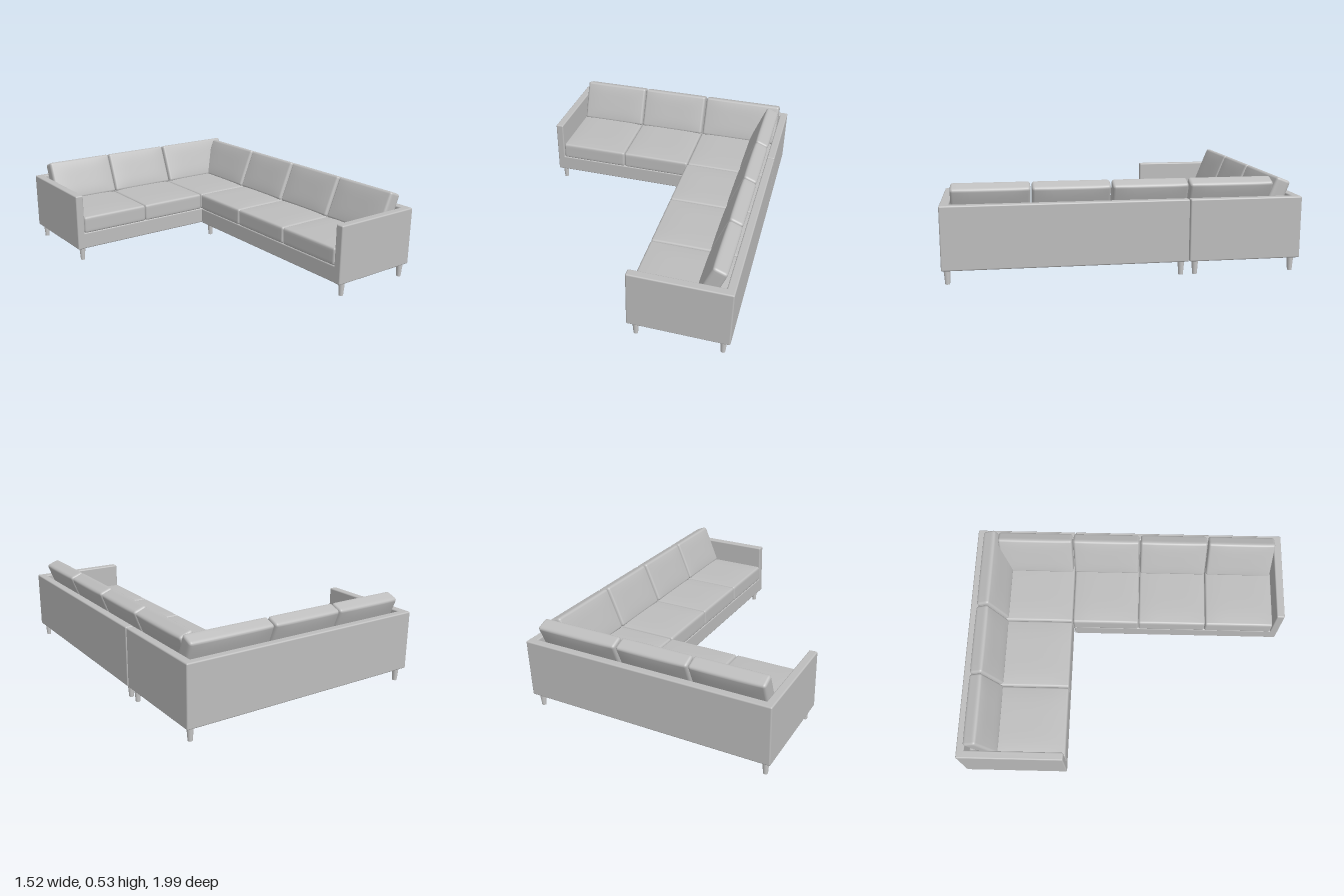
import * as THREE from 'three';
import { RoundedBoxGeometry } from 'three/addons/geometries/RoundedBoxGeometry.js';
import { mergeVertices } from 'three/addons/utils/BufferGeometryUtils.js';

const fabric = new THREE.MeshStandardMaterial({ color: 0xbdbdbd });
fabric.name = 'grey upholstery';
const legGrey = new THREE.MeshStandardMaterial({ color: 0xc8c8c8 });
legGrey.name = 'pale grey legs';

// Soft box: tightly rounded rims, with the two broad y faces swelling in the middle
function cushionGeometry(w, h, d, r, bulge) {
  const geo = new THREE.BoxGeometry(2, 2, 2, 20, 10, 20);
  geo.deleteAttribute('normal');
  geo.deleteAttribute('uv');
  const half = [w / 2, h / 2, d / 2];
  const pos = geo.attributes.position;
  const v = new THREE.Vector3(), core = new THREE.Vector3();
  for (let i = 0; i < pos.count; i++) {
    const t = [pos.getX(i), pos.getY(i), pos.getZ(i)];
    // pack the outer grid rows into the rounded rim
    const p = t.map((a, k) => {
      const u = Math.abs(a), flat = half[k] - r;
      return Math.sign(a) * (u > 0.6 ? flat + r * (u - 0.6) / 0.4 : flat * u / 0.6);
    });
    v.set(...p);
    core.set(...p.map((a, k) => THREE.MathUtils.clamp(a, r - half[k], half[k] - r)));
    v.sub(core);
    if (v.lengthSq() > 1e-12) v.setLength(r);
    v.add(core);
    const nx = v.x / half[0], nz = v.z / half[2];
    v.y += Math.sign(t[1]) * Math.abs(t[1]) * bulge * (1 - nx ** 4) * (1 - nz ** 4);
    pos.setXYZ(i, v.x, v.y, v.z);
  }
  const merged = mergeVertices(geo, 1e-5);
  merged.computeVertexNormals();
  return merged;
}

export function createModel() {
  const sofa = new THREE.Group();
  sofa.name = 'cornerSofa';

  const add = (parent, name, geo, mat = fabric) => {
    const mesh = new THREE.Mesh(geo, mat);
    mesh.name = name;
    parent.add(mesh);
    return mesh;
  };
  // Upholstered panel given by its extents
  const panel = (parent, name, x0, x1, y0, y1, z0, z1) =>
    add(parent, name, new RoundedBoxGeometry(x1 - x0, y1 - y0, z1 - z0, 3, 0.008))
      .position.set((x0 + x1) / 2, (y0 + y1) / 2, (z0 + z1) / 2);

  const seat = (parent, x0, x1, z0, z1) =>
    add(parent, 'seatCushion', cushionGeometry(x1 - x0, 0.105, z1 - z0, 0.014, 0.008))
      .position.set((x0 + x1) / 2, 0.235, (z0 + z1) / 2);

  // Leaning cushion: its broad face looks along +z before the holder is turned
  const LEAN = 0.38;
  const backCushion = (parent, along, width, side) => {
    const holder = new THREE.Group();
    holder.name = 'backCushionHolder';
    const mesh = add(holder, 'backCushion', cushionGeometry(width, 0.084, 0.268, 0.016, 0.007));
    mesh.rotation.x = Math.PI / 2 - LEAN;
    if (side) {
      holder.position.set(0.622, 0.398, along);
      holder.rotation.y = -Math.PI / 2;
    } else {
      holder.position.set(along, 0.398, -0.862);
    }
    parent.add(holder);
  };

  // Rear section, carrying the corner
  const rear = new THREE.Group();
  rear.name = 'rearSection';
  sofa.add(rear);
  panel(rear, 'base', -0.73, 0.74, 0.082, 0.185, -0.98, -0.365);
  panel(rear, 'backPanel', -0.76, 0.76, 0.08, 0.432, -1.0, -0.952);
  panel(rear, 'arm', -0.76, -0.711, 0.08, 0.432, -0.99, -0.365);
  panel(rear, 'cornerPanel', 0.711, 0.76, 0.08, 0.432, -0.99, -0.362);
  for (const [x0, x1] of [[-0.709, -0.266], [-0.264, 0.182], [0.184, 0.711]]) {
    seat(rear, x0, x1, -0.955, -0.363);
  }
  for (const [x0, x1] of [[-0.7, -0.262], [-0.257, 0.183], [0.192, 0.708]]) {
    backCushion(rear, (x0 + x1) / 2, x1 - x0, false);
  }

  // Side section, running forward
  const wing = new THREE.Group();
  wing.name = 'sideSection';
  sofa.add(wing);
  panel(wing, 'base', 0.182, 0.74, 0.082, 0.185, -0.357, 0.97);
  panel(wing, 'backPanel', 0.711, 0.76, 0.08, 0.432, -0.357, 0.99);
  panel(wing, 'arm', 0.182, 0.76, 0.08, 0.432, 0.94, 0.99);
  for (const [z0, z1] of [[-0.36, 0.065], [0.067, 0.5], [0.502, 0.939]]) {
    seat(wing, 0.18, 0.711, z0, z1);
  }
  for (const [z0, z1] of [[-0.85, -0.372], [-0.364, 0.06], [0.07, 0.499], [0.507, 0.933]]) {
    backCushion(wing, (z0 + z1) / 2, z1 - z0, true);
  }

  // Tapered legs
  const legGeo = new THREE.CylinderGeometry(0.02, 0.013, 0.09, 20);
  const spots = [
    [-0.72, -0.96], [-0.72, -0.4], [0.72, -0.96], [0.72, -0.4],
    [0.72, -0.32], [0.23, -0.32], [0.72, 0.96], [0.23, 0.96],
  ];
  for (const [x, z] of spots) add(sofa, 'leg', legGeo, legGrey).position.set(x, 0.045, z);

  return sofa;
}
